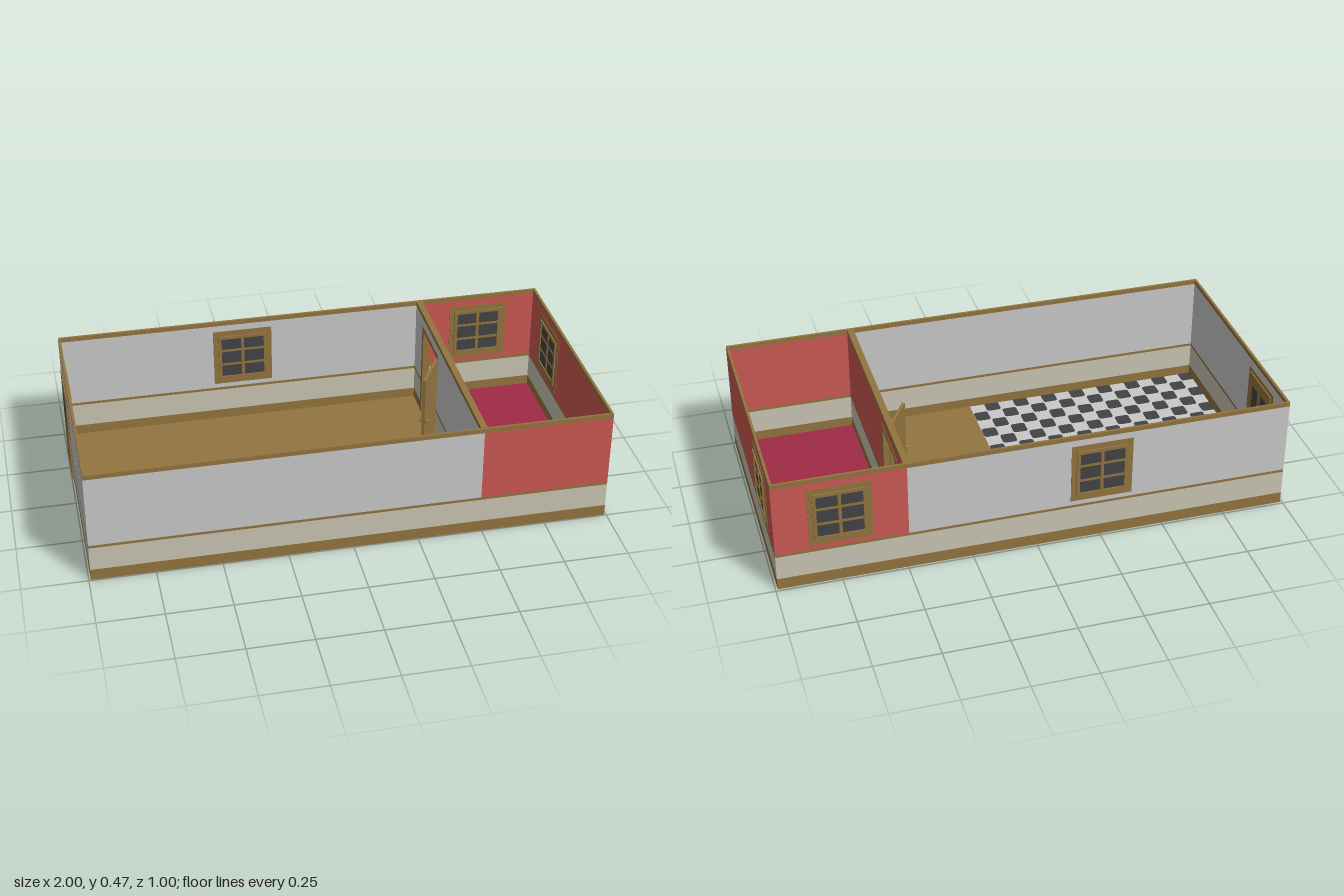
import * as THREE from 'three';

const material = (name, color) => {
  const m = new THREE.MeshStandardMaterial({ color });
  m.name = name;
  return m;
};

export function createModel() {
  const wood = material('wood', 0x93743f);
  const cream = material('cream wainscot', 0xc9c6b3);
  const grey = material('grey paint', 0xc9c9c9);
  const red = material('red paint', 0xcc5952);
  const carpet = material('maroon carpet', 0x9e2b45);
  const dark = material('dark tile and glass', 0x424345);

  const model = new THREE.Group();
  model.name = 'twoRoomHouse';

  // Box given by its limits on each axis
  const box = (parent, name, mat, x0, x1, y0, y1, z0, z1) => {
    const mesh = new THREE.Mesh(new THREE.BoxGeometry(x1 - x0, y1 - y0, z1 - z0), mat);
    mesh.position.set((x0 + x1) / 2, (y0 + y1) / 2, (z0 + z1) / 2);
    mesh.name = name;
    parent.add(mesh);
    return mesh;
  };
  const group = (name, x, y, z, turn = 0) => {
    const g = new THREE.Group();
    g.name = name;
    g.position.set(x, y, z);
    g.rotation.y = turn;
    model.add(g);
    return g;
  };

  const X = 0.992, BACK = -0.491, FRONT = 0.498, T = 0.01;
  const P0 = 0.48, PM = 0.4925, P1 = 0.505; // partition faces and middle
  const TOP = 0.465, RAIL = 0.447;

  // Wall: baseboard, wainscot, chair rail, paint and top trim
  const wall = (name, paint, x0, x1, z0, z1) => {
    const g = group(name, 0, 0, 0);
    [['baseboard', wood, 0.001, 0.047], ['wainscot', cream, 0.047, 0.145],
      ['chairRail', wood, 0.145, 0.156], ['paintedWall', paint, 0.156, RAIL],
      ['topTrim', wood, RAIL, TOP]].forEach(([part, mat, y0, y1]) =>
      box(g, part, mat, x0, x1, y0, y1, z0, z1));
  };
  wall('frontWallMainRoom', grey, -X, PM, FRONT - T, FRONT);
  wall('frontWallSideRoom', red, PM, X, FRONT - T, FRONT);
  wall('backWallMainRoom', grey, -X, PM, BACK, BACK + T);
  wall('backWallSideRoom', red, PM, X, BACK, BACK + T);
  wall('rightWall', grey, -X, -X + T, BACK + T, FRONT - T);
  wall('leftWall', red, X - T, X, BACK + T, FRONT - T);

  // Partition, painted differently on each side, with a doorway
  const D0 = -0.355, D1 = -0.145, HEAD = 0.4;
  [[grey, P0, PM], [red, PM, P1]].forEach(([paint, x0, x1]) => {
    wall('partitionBack', paint, x0, x1, BACK + T, D0);
    wall('partitionFront', paint, x0, x1, D1, FRONT - T);
    box(model, 'lintel', paint, x0, x1, HEAD, RAIL, D0, D1);
    box(model, 'lintelTrim', wood, x0, x1, RAIL, TOP, D0, D1);
  });
  const F0 = P0 - 0.002, F1 = P1 + 0.002;
  box(model, 'doorJamb', wood, F0, F1, 0.007, HEAD + 0.015, D0 - 0.015, D0 + 0.005);
  box(model, 'doorJamb', wood, F0, F1, 0.007, HEAD + 0.015, D1 - 0.005, D1 + 0.015);
  box(model, 'doorHead', wood, F0, F1, HEAD - 0.005, HEAD + 0.015, D0, D1);

  // Floors
  const IN = 0.001, FY = 0.007;
  box(model, 'woodFloorBack', wood, -X + IN, PM, 0, FY, BACK + IN, 0);
  box(model, 'woodFloorFront', wood, 0, PM, 0, FY, 0, FRONT - IN);
  box(model, 'carpetFloor', carpet, PM, X - IN, 0, FY, BACK + IN, FRONT - IN);
  box(model, 'tileFloor', grey, -X + IN, 0, 0.001, FY, 0, FRONT - IN);

  // Dark rounded tiles in a checker pattern
  const cell = X / 16, h = cell * 0.48, r = cell * 0.17;
  const tile = new THREE.Shape();
  tile.absarc(h - r, h - r, r, 0, Math.PI / 2);
  tile.absarc(r - h, h - r, r, Math.PI / 2, Math.PI);
  tile.absarc(r - h, r - h, r, Math.PI, Math.PI * 1.5);
  tile.absarc(h - r, r - h, r, Math.PI * 1.5, Math.PI * 2);
  const tileGeometry = new THREE.ExtrudeGeometry(tile, { depth: 0.008, bevelEnabled: false, curveSegments: 3 });
  tileGeometry.rotateX(-Math.PI / 2);
  for (let row = 0; row < 8; row++) {
    for (let col = (row + 1) % 2; col < 16; col += 2) {
      const mesh = new THREE.Mesh(tileGeometry, dark);
      mesh.name = 'darkTile';
      mesh.position.set(-X + (col + 0.5) * cell, 0, (row + 0.5) * cell);
      model.add(mesh);
    }
  }

  // Rectangular frame lying in the xy plane
  const frame = (parent, name, w, height, bar, depth) => {
    const s = new THREE.Shape();
    const a = w / 2, b = height / 2;
    s.moveTo(-a, -b).lineTo(a, -b).lineTo(a, b).lineTo(-a, b).closePath();
    const hole = new THREE.Path();
    const c = a - bar, d = b - bar;
    hole.moveTo(-c, -d).lineTo(-c, d).lineTo(c, d).lineTo(c, -d).closePath();
    s.holes.push(hole);
    const geo = new THREE.ExtrudeGeometry(s, { depth, bevelEnabled: false });
    geo.translate(0, 0, -depth / 2);
    const mesh = new THREE.Mesh(geo, wood);
    mesh.name = name;
    parent.add(mesh);
    return mesh;
  };

  // Windows: flat casing, raised sash, glass and glazing bars
  const addWindow = (x, z, turn) => {
    const g = group('window', x, 0.298, z, turn);
    frame(g, 'casing', 0.24, 0.245, 0.024, T + 0.004);
    frame(g, 'sash', 0.2, 0.2, 0.013, T + 0.016);
    const gd = T / 2 + 0.003, bd = T / 2 + 0.006;
    box(g, 'glass', dark, -0.09, 0.09, -0.09, 0.09, -gd, gd);
    box(g, 'glazingBar', wood, -0.006, 0.006, -0.09, 0.09, -bd, bd);
    for (const y of [-0.032, 0.032]) box(g, 'glazingBar', wood, -0.09, 0.09, y - 0.005, y + 0.005, -bd + 0.001, bd - 0.001);
  };
  addWindow(-0.25, BACK + T / 2, 0);
  addWindow(0.745, BACK + T / 2, 0);
  addWindow(X - T / 2, -0.245, Math.PI / 2);

  // Entry door with two glass panes
  const entry = group('entryDoor', -X + T / 2, 0, -0.25, Math.PI / 2);
  frame(entry, 'casing', 0.235, 0.405, 0.02, T + 0.004).position.y = 0.2125;
  box(entry, 'doorLeaf', wood, -0.1, 0.1, 0.01, 0.4, -T / 2 - 0.007, T / 2 + 0.007);
  for (const x of [-0.04, 0.04]) {
    box(entry, 'doorGlass', dark, x - 0.025, x + 0.025, 0.22, 0.355, -T / 2 - 0.008, T / 2 + 0.008);
  }

  // Inner door standing open, with knobs near its free edge
  const inner = group('innerDoor', 0.485, 0, -0.15, Math.atan2(-0.16, -0.095));
  box(inner, 'doorLeaf', wood, 0, 0.19, 0.01, 0.393, -0.006, 0.006);
  for (const side of [-1, 1]) {
    const knob = new THREE.Mesh(new THREE.SphereGeometry(0.008, 12, 8), wood);
    knob.name = 'doorKnob';
    knob.position.set(0.175, 0.2, side * 0.012);
    inner.add(knob);
  }
  return model;
}
